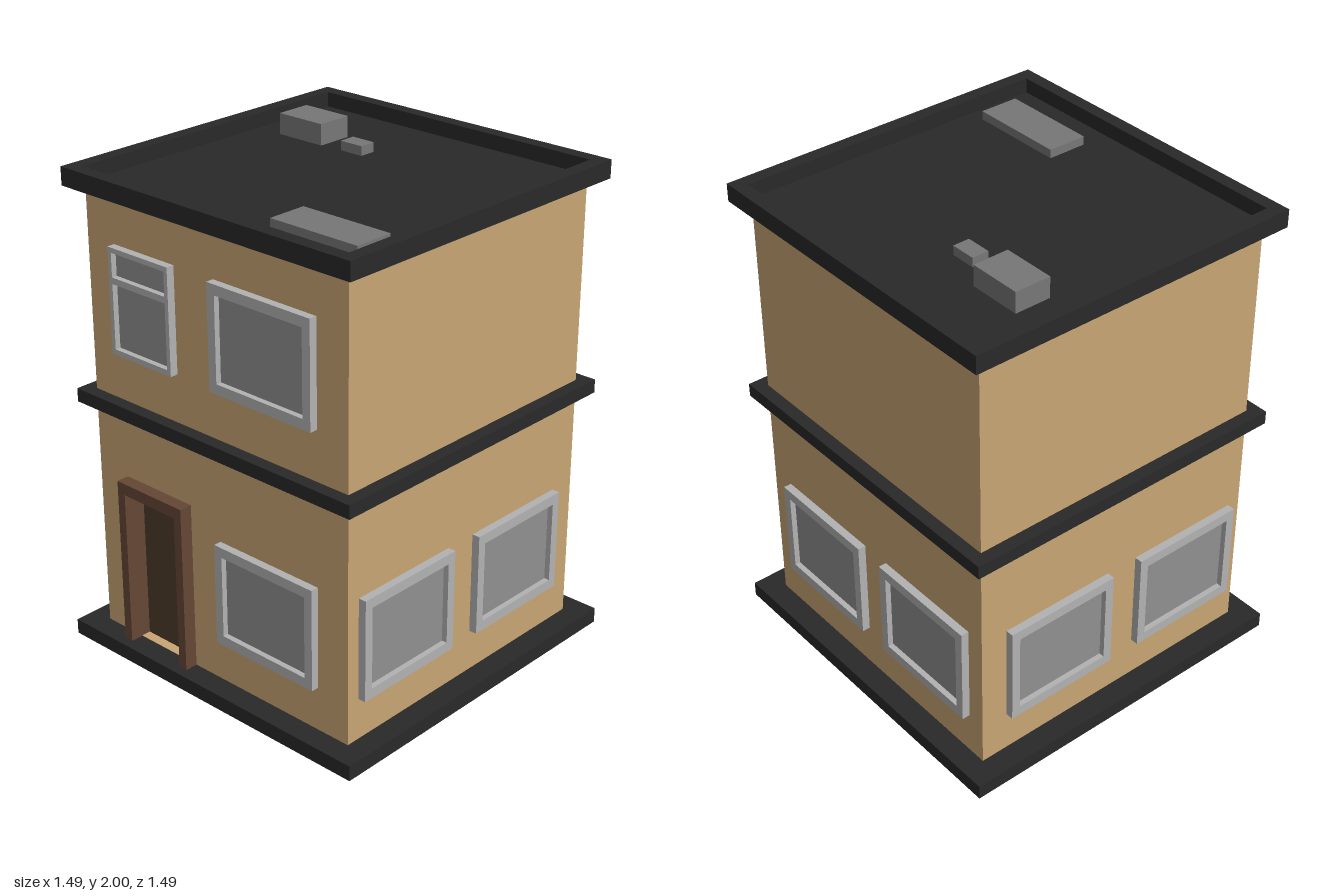
import * as THREE from 'three';

const mat = (color) => new THREE.MeshStandardMaterial({ color, flatShading: true });
const tan = mat(0xc8a574), dark = mat(0x292929), trim = mat(0xb2b2b2), glass = mat(0x909090);
const wood = mat(0x654735), panel = mat(0x4d3b2a), unit = mat(0x777777);
const metal = new THREE.MeshStandardMaterial({ color: 0xcccccc });

const W = 0.65; // half width of the walls
const T = 0.01; // wall thickness

// Box given by its minimum and maximum on each axis
function box(parent, name, material, [x0, x1], [y0, y1], [z0, z1]) {
  const m = new THREE.Mesh(new THREE.BoxGeometry(x1 - x0, y1 - y0, z1 - z0), material);
  m.position.set((x0 + x1) / 2, (y0 + y1) / 2, (z0 + z1) / 2);
  m.name = name;
  parent.add(m);
  return m;
}

function rectPath(target, x0, x1, y0, y1) {
  target.moveTo(x0, y0);
  target.lineTo(x1, y0);
  target.lineTo(x1, y1);
  target.lineTo(x0, y1);
  target.closePath();
  return target;
}

// Flat plate with rectangular holes, extruded along z
function plate(outer, holes, depth) {
  const s = rectPath(new THREE.Shape(), ...outer);
  for (const h of holes) s.holes.push(rectPath(new THREE.Path(), ...h));
  return new THREE.ExtrudeGeometry(s, { depth, bevelEnabled: false });
}

// Square band running around the building
function band(parent, name, half, inner, y0, y1) {
  const g = plate([-half, half, -half, half], [[-inner, inner, -inner, inner]], y1 - y0);
  g.rotateX(-Math.PI / 2);
  const m = new THREE.Mesh(g, dark);
  m.position.y = y0;
  m.name = name;
  parent.add(m);
}

// Window facing local +z, its origin on the wall surface
function makeWindow(parent, name, w, h, panes, position, turn) {
  const g = new THREE.Group();
  g.name = name;
  const frame = new THREE.Mesh(plate([-w / 2, w / 2, -h / 2, h / 2], panes, 0.05), trim);
  frame.position.z = -0.017;
  frame.name = 'windowFrame';
  g.add(frame);
  for (const [x0, x1, y0, y1] of panes) {
    box(g, 'windowGlass', glass, [x0, x1], [y0, y1], [-0.005, 0.01]);
  }
  g.position.set(...position);
  g.rotation.y = turn;
  parent.add(g);
}

export function createModel() {
  const house = new THREE.Group();
  house.name = 'house';

  // Walls: a thin open-bottomed shell with a doorway
  const top = 1.91;
  const front = rectPath(new THREE.Shape(), -W, W, 0.001, top);
  front.holes.push(rectPath(new THREE.Path(), -0.475, -0.165, 0.06, 0.74));
  const frontWall = new THREE.Mesh(new THREE.ExtrudeGeometry(front, { depth: T, bevelEnabled: false }), tan);
  frontWall.position.z = W - T;
  frontWall.name = 'frontWall';
  house.add(frontWall);
  box(house, 'backWall', tan, [-W, W], [0.001, top], [-W, -W + T]);
  box(house, 'leftWall', tan, [W - T, W], [0.001, top], [-W + T, W - T]);
  box(house, 'rightWall', tan, [-W, -W + T], [0.001, top], [-W + T, W - T]);

  // Base, floor band, parapet and roof
  band(house, 'base', 0.743, 0.645, 0.002, 0.065);
  band(house, 'floorBand', 0.703, 0.645, 1.035, 1.09);
  band(house, 'parapet', 0.711, 0.655, 1.902, 1.975);
  box(house, 'roof', dark, [-0.66, 0.66], [1.903, 1.915], [-0.66, 0.66]);

  // Roof units
  box(house, 'tallRoofUnit', unit, [-0.535, -0.315], [1.91, 2], [-0.4, -0.25]);
  box(house, 'smallRoofUnit', unit, [-0.22, -0.115], [1.91, 1.953], [-0.328, -0.258]);
  box(house, 'flatRoofUnit', unit, [0.188, 0.59], [1.91, 1.95], [0.378, 0.543]);

  // Wide windows: front (both floors), back and both sides
  const wide = [[-0.21, 0.21, -0.169, 0.169]];
  const addWide = (name, position, turn) => makeWindow(house, name, 0.494, 0.42, wide, position, turn);
  addWide('frontLowerWindow', [0.257, 0.458, W], 0);
  addWide('frontUpperWindow', [0.257, 1.5, W], 0);
  for (const x of [0.297, -0.327]) addWide('backWindow', [x, 0.458, -W], Math.PI);
  for (const z of [0.347, -0.287]) {
    addWide('leftWindow', [W, 0.448, z], Math.PI / 2);
    addWide('rightWindow', [-W, 0.448, z], -Math.PI / 2);
  }

  // Narrow upper window with a transom light
  makeWindow(house, 'transomWindow', 0.316, 0.424,
    [[-0.14, 0.14, -0.19, 0.07], [-0.14, 0.14, 0.096, 0.192]], [-0.349, 1.498, W], 0);

  // Door: deep frame, recessed leaf, threshold and knobs on both faces
  const door = new THREE.Group();
  door.name = 'door';
  const depth = [0.56, 0.704];
  box(door, 'doorJamb', wood, [-0.495, -0.457], [0, 0.765], depth);
  box(door, 'doorJamb', wood, [-0.183, -0.145], [0, 0.765], depth);
  box(door, 'doorHead', wood, [-0.457, -0.183], [0.717, 0.765], depth);
  box(door, 'doorLeaf', panel, [-0.457, -0.183], [0.064, 0.717], [0.585, 0.61]);
  box(door, 'threshold', tan, [-0.457, -0.183], [0.055, 0.066], [0.585, 0.65]);
  for (const z of [0.628, 0.567]) {
    const knob = new THREE.Mesh(new THREE.SphereGeometry(0.018, 16, 12), metal);
    knob.position.set(-0.223, 0.41, z);
    knob.name = 'doorKnob';
    door.add(knob);
  }
  house.add(door);

  return house;
}
